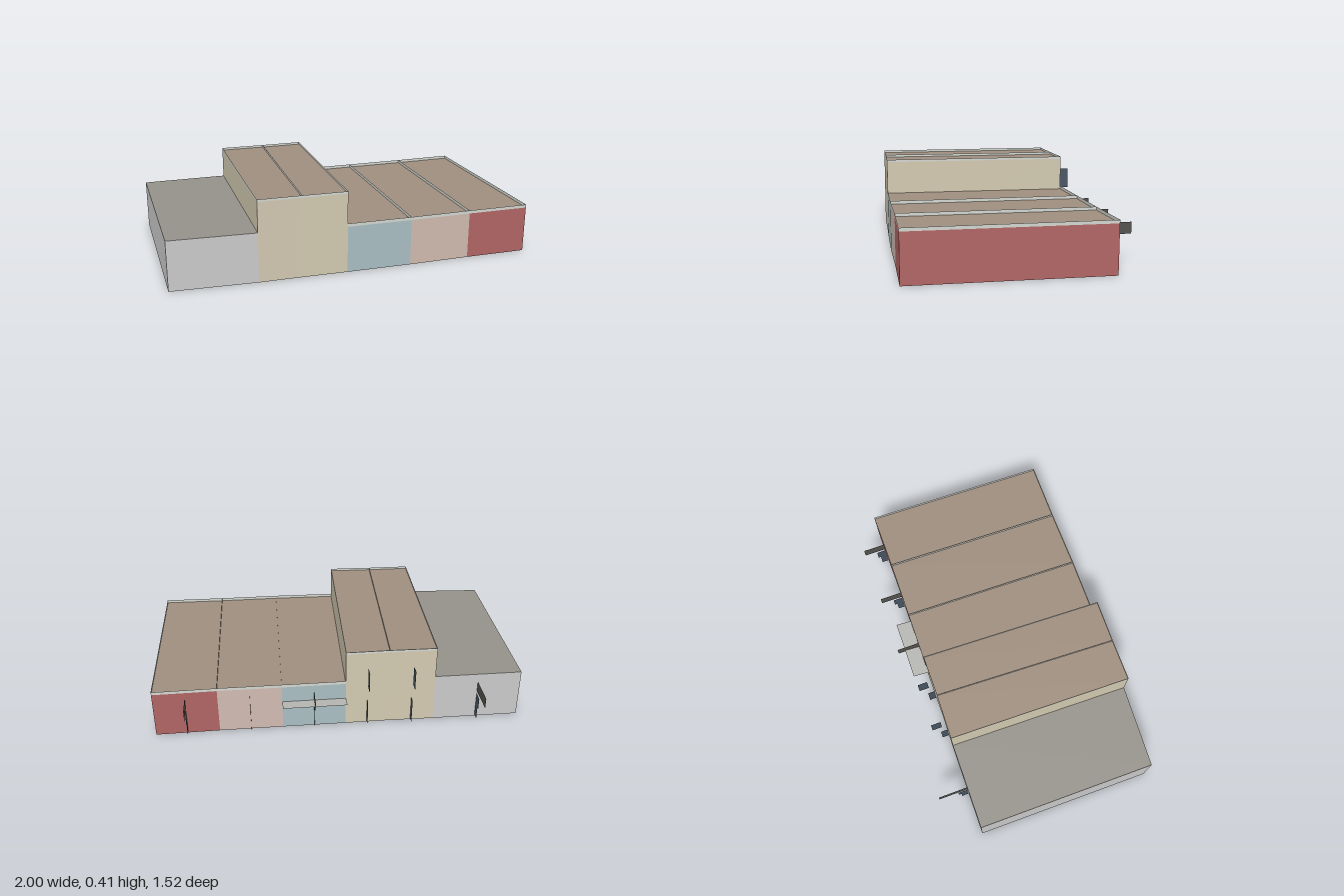
import * as THREE from 'three';

// Plan points [x, z] where the party walls meet the plain front and the street side (back)
const FRONT = [[-1, 0.19], [-0.605, 0.335], [-0.4, 0.4], [-0.19, 0.47], [0.12, 0.57], [0.42, 0.66], [0.72, 0.755]];
const BACK = [[-0.74, -0.68], [-0.325, -0.555], [-0.105, -0.485], [0.1, -0.425], [0.4, -0.335], [0.7, -0.245], [1, -0.16]];
const OUT = [0.28, -0.96]; // direction pointing away from the street side

const UNITS = [
  { name: 'greyShop', color: 0xd6d5d2, roof: 0x96938b, top: 0.25, band: 0, sign: 0.15 },
  { name: 'tallHouseA', color: 0xd4cbb2, roof: 0xa08f80, top: 0.412, band: 0.012, window: true },
  { name: 'tallHouseB', color: 0xd4cbb2, roof: 0xa08f80, top: 0.412, band: 0.012, window: true },
  { name: 'blueShop', color: 0xabc0c4, roof: 0xa08f80, top: 0.25, band: 0.016, sign: 0.115, awning: true },
  { name: 'pinkShop', color: 0xd2bcb2, roof: 0xa08f80, top: 0.25, band: 0.016, sign: 0.115 },
  { name: 'redShop', color: 0xb36666, roof: 0xa08f80, top: 0.25, band: 0.016, sign: 0.115 },
];

const materials = {};
function material(color) {
  return (materials[color] ??= new THREE.MeshStandardMaterial({ color, side: THREE.DoubleSide }));
}

// Flat four-cornered panel, corners anticlockwise as seen from outside
function quad(name, color, a, b, c, d) {
  const g = new THREE.BufferGeometry();
  g.setAttribute('position', new THREE.Float32BufferAttribute([...a, ...b, ...c, ...d], 3));
  g.setIndex([0, 1, 2, 0, 2, 3]);
  g.computeVertexNormals();
  const mesh = new THREE.Mesh(g, material(color));
  mesh.name = name;
  return mesh;
}

// Upright panel between two plan points
function wall(name, color, p, q, y0, y1) {
  return quad(name, color, [p[0], y0, p[1]], [q[0], y0, q[1]], [q[0], y1, q[1]], [p[0], y1, p[1]]);
}

// Plan point a given distance out from the street side
const outward = (p, d) => [p[0] + OUT[0] * d, p[1] + OUT[1] * d];

function buildUnit(u, i) {
  const group = new THREE.Group();
  group.name = u.name;
  const f0 = FRONT[i], f1 = FRONT[i + 1], b0 = BACK[i], b1 = BACK[i + 1];
  const eaves = u.top - u.band;

  // Walls; each unit owns its right party wall, the left one only where it is exposed
  const sides = [['frontWall', f0, f1, 0], ['rightWall', f1, b1, 0], ['streetWall', b1, b0, 0]];
  if (i === 0) sides.push(['leftWall', b0, f0, 0]);
  else if (UNITS[i - 1].top < u.top) sides.push(['leftWall', b0, f0, UNITS[i - 1].top]);
  for (const [name, p, q, y0] of sides) {
    group.add(wall(name, u.color, p, q, y0, eaves));
    if (u.band) group.add(wall('parapet', 0xd5d8d2, p, q, eaves, u.top));
  }

  // Roof set at the foot of the parapet
  group.add(quad('roof', u.roof,
    [f0[0], eaves, f0[1]], [f1[0], eaves, f1[1]], [b1[0], eaves, b1[1]], [b0[0], eaves, b0[1]]));

  // Thin panels standing out from the middle of the street wall
  const mid = [(b0[0] + b1[0]) / 2, (b0[1] + b1[1]) / 2];
  const fin = (name, color, d0, d1, y0, y1) =>
    group.add(wall(name, color, outward(mid, d0), outward(mid, d1), y0, y1));
  fin('door', 0x4a5664, 0, 0.036, 0.008, 0.135);
  if (u.window) fin('window', 0x4a5664, 0.024, 0.074, 0.225, 0.33);
  if (u.sign) fin('signBoard', 0x55534f, 0, u.sign, 0.15, 0.205);
  if (u.sign && !u.awning) fin('doorPanel', 0x4a5664, 0.036, 0.05, 0.075, 0.135);

  // Awning over the door
  if (u.awning) {
    const o0 = outward(b0, 0.078), o1 = outward(b1, 0.078);
    group.add(quad('awning', 0xbcbcb8,
      [b0[0], 0.15, b0[1]], [b1[0], 0.15, b1[1]], [o1[0], 0.163, o1[1]], [o0[0], 0.163, o0[1]]));
  }
  return group;
}

export function createModel() {
  const model = new THREE.Group();
  model.name = 'shopRow';
  UNITS.forEach((u, i) => model.add(buildUnit(u, i)));
  return model;
}
